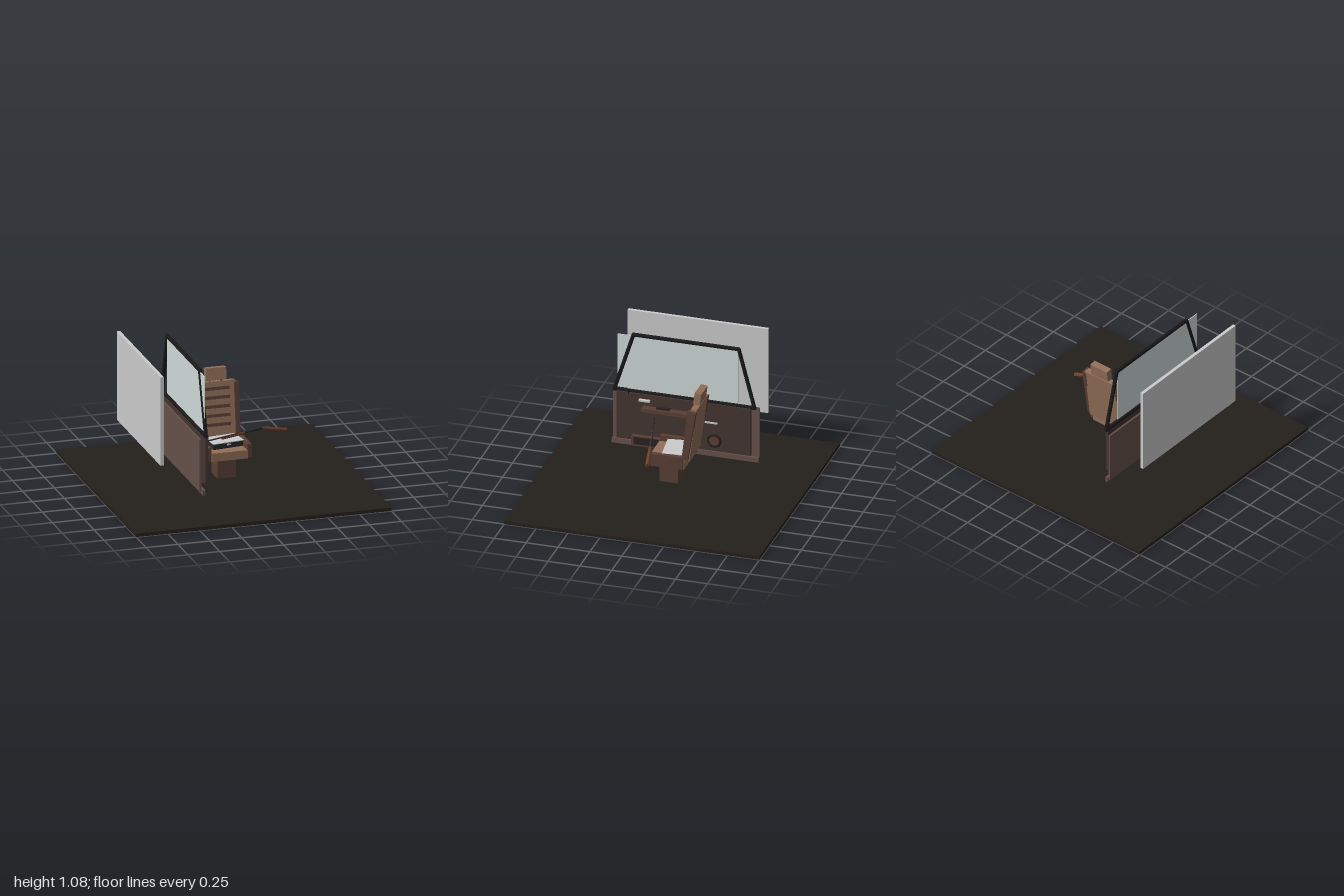
import * as THREE from 'three';

const mat = (color) => new THREE.MeshStandardMaterial({ color, flatShading: true });
const M = {
  grey: mat(0xcccccc), floor: mat(0x24201c), black: mat(0x1a1919), glass: mat(0xd0dad8),
  outer: mat(0x66504a), inner: mat(0x453530), dark: mat(0x2a211e), brown: mat(0x593f35),
  tan: mat(0x926f58), wood: mat(0x6b4029), steel: mat(0x2c2b2b),
};

function add(parent, name, geometry, material, x = 0, y = 0, z = 0) {
  const mesh = new THREE.Mesh(geometry, material);
  mesh.name = name;
  mesh.position.set(x, y, z);
  parent.add(mesh);
  return mesh;
}

// Box given by its minimum and maximum on each axis
function span(parent, name, material, x0, x1, y0, y1, z0, z1) {
  return add(parent, name, new THREE.BoxGeometry(x1 - x0, y1 - y0, z1 - z0), material,
    (x0 + x1) / 2, (y0 + y1) / 2, (z0 + z1) / 2);
}

// Bar whose length runs from point a to point b
function bar(parent, name, material, a, b, r0, r1 = r0, sides = 8) {
  const p = new THREE.Vector3(...a), q = new THREE.Vector3(...b);
  const mesh = add(parent, name, new THREE.CylinderGeometry(r1, r0, p.distanceTo(q), sides), material);
  mesh.position.copy(p).add(q).multiplyScalar(0.5);
  mesh.quaternion.setFromUnitVectors(new THREE.Vector3(0, 1, 0), q.sub(p).normalize());
  return mesh;
}

function group(parent, name) {
  const g = new THREE.Group();
  g.name = name;
  parent.add(g);
  return g;
}

function buildDoor(root) {
  const door = group(root, 'door');
  span(door, 'outerSkin', M.outer, -0.37, -0.355, 0.155, 0.56, -0.575, 0.575);
  span(door, 'sill', M.outer, -0.345, -0.325, 0.12, 0.16, -0.575, 0.575);
  span(door, 'innerPanel', M.inner, -0.31, -0.29, 0.185, 0.49, -0.525, 0.525);
  span(door, 'innerCap', M.inner, -0.31, -0.285, 0.49, 0.575, -0.525, 0.525);

  // Window frame: four bars joined at round corners
  const corners = [[0.55, 0.578], [0.4, 1.05], [-0.425, 1.05], [-0.548, 0.578]];
  corners.forEach(([z, y], i) => {
    const [z2, y2] = corners[(i + 1) % 4];
    bar(door, 'windowFrameBar', M.black, [-0.313, y, z], [-0.313, y2, z2], 0.0155);
    add(door, 'windowFrameCorner', new THREE.SphereGeometry(0.0155, 8, 6), M.black, -0.313, y, z);
  });
  span(door, 'windowGlass', M.glass, -0.317, -0.311, 0.6, 1.04, -0.42, 0.525);

  // Interior fittings
  span(door, 'armrest', M.brown, -0.285, -0.23, 0.455, 0.485, -0.06, 0.315);
  span(door, 'armrestSwitches', M.dark, -0.275, -0.25, 0.485, 0.498, 0.1, 0.205);
  span(door, 'doorHandle', M.grey, -0.285, -0.26, 0.525, 0.539, 0.26, 0.345);
  bar(door, 'lockPin', M.black, [-0.28, 0.57, 0.43], [-0.28, 0.61, 0.43], 0.004);
  bar(door, 'crankHub', M.grey, [-0.29, 0.425, -0.11], [-0.265, 0.425, -0.11], 0.014, 0.014, 12);
  span(door, 'crankArm', M.grey, -0.278, -0.27, 0.418, 0.43, -0.27, -0.1);
  span(door, 'mapPocket', M.brown, -0.29, -0.255, 0.155, 0.235, -0.1, 0.4);
  span(door, 'mapPocketOpening', M.dark, -0.257, -0.25, 0.17, 0.228, -0.08, 0.38);
  bar(door, 'speaker', M.brown, [-0.29, 0.28, -0.245], [-0.268, 0.28, -0.245], 0.045, 0.045, 24);
  const ring = add(door, 'speakerRing', new THREE.TorusGeometry(0.047, 0.01, 8, 24), M.dark, -0.272, 0.28, -0.245);
  ring.rotation.y = Math.PI / 2;
}

function buildSeat(root) {
  const seat = group(root, 'seat');
  span(seat, 'pedestal', M.brown, -0.075, 0.072, 0.06, 0.225, -0.07, 0.076);
  span(seat, 'cushion', M.tan, -0.145, 0.145, 0.22, 0.285, -0.14, 0.142);
  for (const s of [-1, 1]) {
    add(seat, 'cushionBolster', new THREE.BoxGeometry(0.035, 0.1, 0.275), M.brown, s * 0.157, 0.28, 0.002);
  }

  // Reclined backrest, built upright from its pivot
  const back = group(seat, 'backrest');
  back.position.set(0, 0.3, -0.15);
  back.rotation.x = -0.135;
  span(back, 'backPanel', M.tan, -0.145, 0.145, 0, 0.435, -0.03, 0.015);
  for (const s of [-1, 1]) {
    // Side bolster, slightly deeper toward the top
    const shape = new THREE.Shape([[-0.024, 0.01], [0.024, 0.01], [0.033, 0.42], [-0.033, 0.42]]
      .map(([z, y]) => new THREE.Vector2(-z, y)));
    const geo = new THREE.ExtrudeGeometry(shape, { depth: 0.035, bevelEnabled: false });
    geo.rotateY(Math.PI / 2);
    add(back, 'backBolster', geo, M.brown, s * 0.153 - 0.0175);
  }
  for (let i = 0; i < 5; i++) {
    add(back, 'backGroove', new THREE.BoxGeometry(0.2, 0.024, 0.008), M.brown, 0, 0.105 + i * 0.069, 0.014);
  }
  for (const s of [-1, 1]) {
    bar(back, 'headrestPost', M.black, [s * 0.045, 0.42, -0.005], [s * 0.045, 0.46, -0.005], 0.007);
  }
  span(back, 'headrest', M.tan, -0.08, 0.08, 0.445, 0.54, -0.032, 0.02);
}

function buildCase(root) {
  // Flat case lying askew on the cushion
  const box = group(root, 'flatCase');
  box.position.set(0.012, 0.285, -0.035);
  box.rotation.y = 0.13;
  span(box, 'caseBody', M.steel, -0.125, 0.125, 0, 0.04, -0.085, 0.085);
  span(box, 'caseLid', M.grey, -0.125, 0.125, 0.04, 0.046, -0.085, 0.085);
  span(box, 'caseLatch', M.grey, -0.014, 0.014, 0.022, 0.034, 0.085, 0.09);
}

function buildRifle(root) {
  // Long gun lying across the seat, muzzle toward the door
  const gun = group(root, 'rifle');
  bar(gun, 'barrel', M.steel, [-0.25, 0.41, 0.218], [0.2, 0.428, 0.1], 0.005, 0.007);
  bar(gun, 'foreEnd', M.wood, [-0.07, 0.408, 0.17], [0.13, 0.42, 0.118], 0.009, 0.012);
  bar(gun, 'receiver', M.steel, [0.12, 0.424, 0.121], [0.27, 0.431, 0.084], 0.012, 0.014);
  bar(gun, 'stock', M.wood, [0.26, 0.43, 0.086], [0.472, 0.38, 0.047], 0.013, 0.016);
  bar(gun, 'frontSight', M.steel, [-0.24, 0.41, 0.215], [-0.24, 0.422, 0.215], 0.003);
}

export function createModel() {
  const root = new THREE.Group();
  root.name = 'cabinScene';
  span(root, 'floor', M.floor, -1, 1, 0, 0.027, -1, 1);
  span(root, 'backdropPanel', M.grey, -0.668, -0.642, 0.38, 1.08, -0.55, 0.55);
  buildDoor(root);
  buildSeat(root);
  buildCase(root);
  buildRifle(root);
  return root;
}
